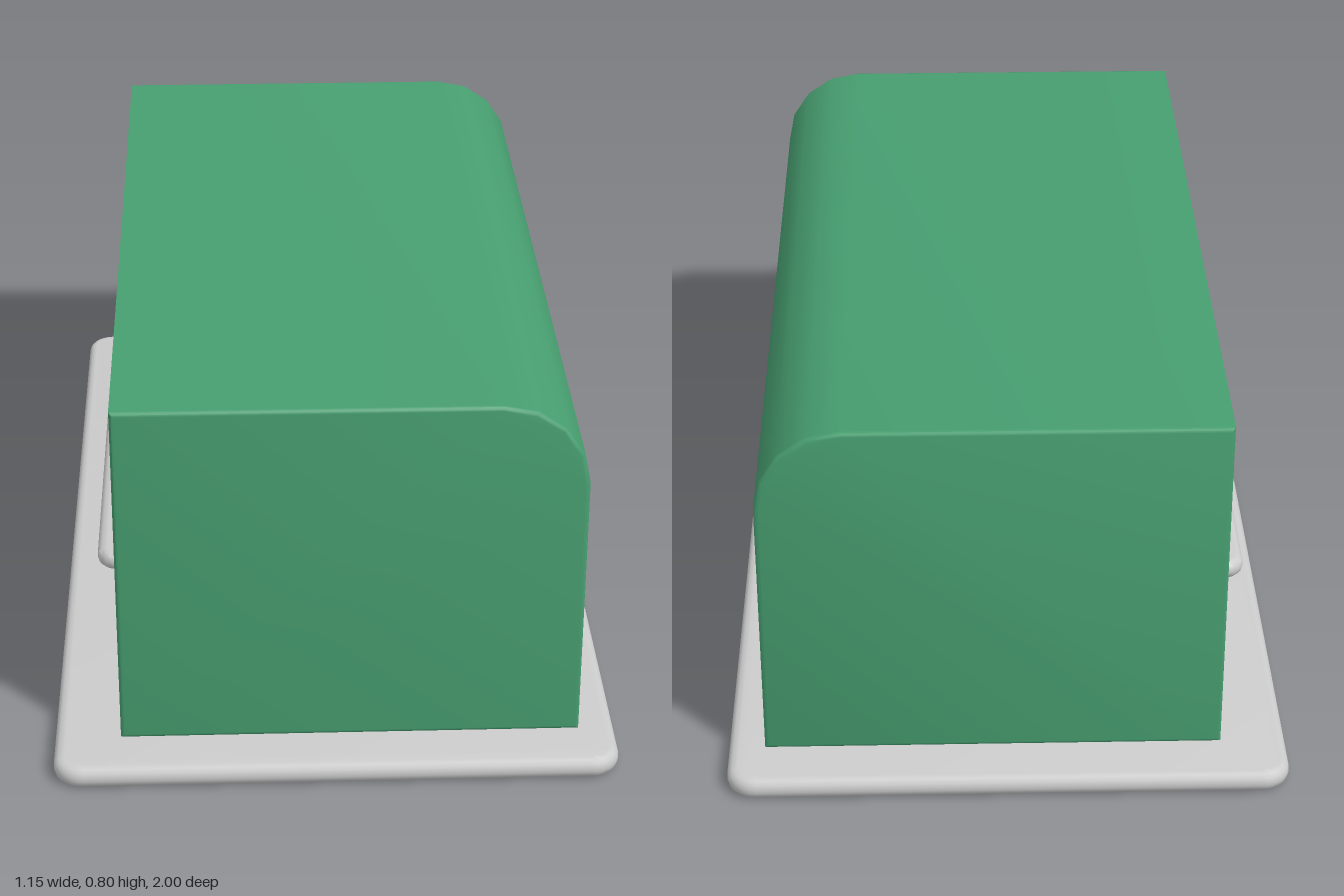
import * as THREE from 'three';
import { toCreasedNormals } from 'three/addons/utils/BufferGeometryUtils.js';

const GREEN = 0x479e70;
const GREY = 0xcccccc;

// Extrusion whose bevel stays inside the outline and total depth
function extrude(shape, depth, bevel, curveSegments = 4) {
  const geometry = new THREE.ExtrudeGeometry(shape, {
    depth: depth - 2 * bevel,
    bevelEnabled: bevel > 0,
    bevelThickness: bevel,
    bevelSize: bevel,
    bevelOffset: -bevel,
    bevelSegments: 3,
    curveSegments,
  });
  geometry.translate(0, 0, bevel);
  return toCreasedNormals(geometry, 0.7);
}

function addMesh(group, name, geometry, color) {
  const mesh = new THREE.Mesh(geometry, new THREE.MeshStandardMaterial({ color }));
  mesh.name = name;
  group.add(mesh);
  return mesh;
}

// Horizontal slab with rounded corners and rounded rims
function slab(x0, x1, y0, y1, halfZ, radius, bevel) {
  const s = new THREE.Shape();
  s.moveTo(x0 + radius, -halfZ);
  s.absarc(x1 - radius, -halfZ + radius, radius, -Math.PI / 2, 0);
  s.absarc(x1 - radius, halfZ - radius, radius, 0, Math.PI / 2);
  s.absarc(x0 + radius, halfZ - radius, radius, Math.PI / 2, Math.PI);
  s.absarc(x0 + radius, -halfZ + radius, radius, Math.PI, Math.PI * 1.5);
  const geometry = extrude(s, y1 - y0, bevel);
  geometry.rotateX(-Math.PI / 2);
  geometry.translate(0, y0, 0);
  return geometry;
}

const LEFT = -0.44, RIGHT = 0.5, BOTTOM = 0.045, TOP = 0.795;
const ROUND = 0.175, WALL = 0.015, HALF = 0.885, BEVEL = 0.009;

// Section from the lower open edge, round the back, to the upper open edge
function section(inset) {
  const points = [new THREE.Vector2(LEFT, BOTTOM + inset), new THREE.Vector2(RIGHT - inset, BOTTOM + inset)];
  for (let i = 0; i <= 4; i++) {
    const a = (i / 4) * Math.PI / 2;
    points.push(new THREE.Vector2(
      RIGHT - ROUND + (ROUND - inset) * Math.cos(a),
      TOP - ROUND + (ROUND - inset) * Math.sin(a)));
  }
  points.push(new THREE.Vector2(LEFT, TOP - inset));
  return points;
}

export function createModel() {
  const model = new THREE.Group();
  model.name = 'openCabinet';

  addMesh(model, 'basePlate', slab(-0.575, 0.575, 0, 0.045, 1, 0.06, 0.019), GREY);

  const shell = new THREE.Group();
  shell.name = 'shell';
  model.add(shell);

  // Floor, back and roof in one bent wall
  const wallHalf = HALF - BEVEL;
  const wall = extrude(new THREE.Shape([...section(0), ...section(WALL).reverse()]), 2 * wallHalf, 0);
  wall.translate(0, 0, -wallHalf);
  addMesh(shell, 'wrapWall', wall, GREEN);

  // End walls, softened at the outer rim
  const thickness = 2 * BEVEL + 0.001;
  for (const [name, z] of [['frontWall', HALF - thickness], ['rearWall', -HALF]]) {
    addMesh(shell, name, extrude(new THREE.Shape(section(0)), thickness, BEVEL), GREEN).position.z = z;
  }

  // Shelf slightly proud of the open side
  addMesh(model, 'shelf', slab(-0.475, 0.485, 0.42, 0.46, 0.85, 0.04, 0.017), GREY);

  return model;
}
